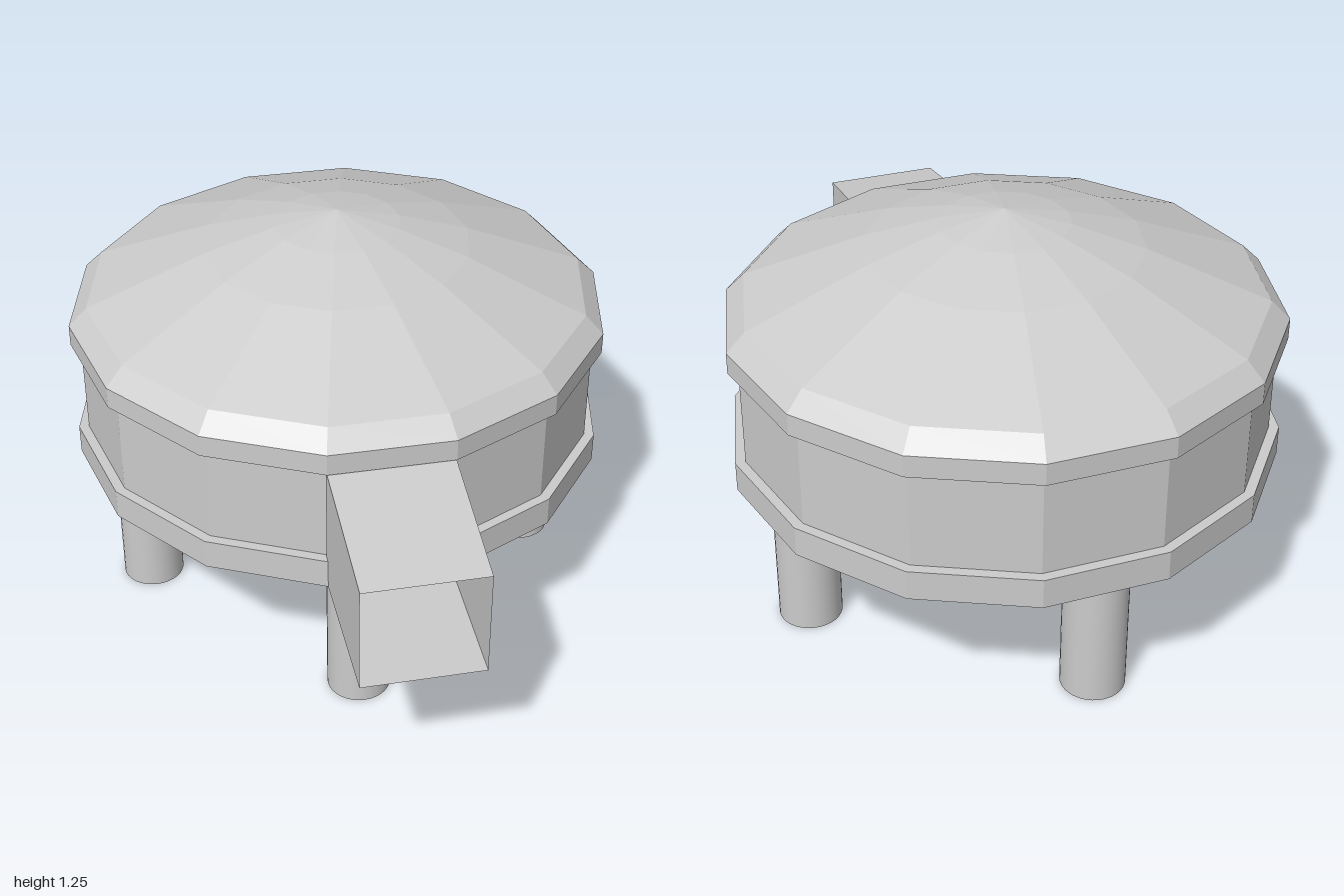
import * as THREE from 'three';

const SIDES = 14;
const CENTRE_Z = -0.205;

export function createModel() {
  const model = new THREE.Group();
  const flat = new THREE.MeshStandardMaterial({ color: 0xcccccc, flatShading: true });
  const smooth = new THREE.MeshStandardMaterial({ color: 0xcccccc });
  const sheet = new THREE.MeshStandardMaterial({ color: 0xcccccc, flatShading: true, side: THREE.DoubleSide });

  function add(name, geometry, material) {
    const mesh = new THREE.Mesh(geometry, material);
    mesh.name = name;
    model.add(mesh);
    return mesh;
  }

  // Fourteen-sided solid with a corner on the x axis
  function drum(name, profile) {
    const points = profile.map(([r, y]) => new THREE.Vector2(r, y));
    const geometry = new THREE.LatheGeometry(points, SIDES);
    geometry.rotateY(Math.PI / 2);
    geometry.translate(0, 0, CENTRE_Z);
    add(name, geometry, flat);
  }

  drum('basePlate', [[0, 0.49], [0.81, 0.49], [0.81, 0.58], [0, 0.58]]);
  drum('wall', [[0.78, 0.58], [0.78, 0.88]]);
  drum('roof', [
    [0, 0.88], [0.81, 0.88], [0.81, 0.945], [0.755, 1.0],
    [0.4, 1.145], [0.19, 1.21], [0, 1.25],
  ]);

  // Four round legs, the front and back ones slightly off centre
  const legs = [
    ['leftLeg', 0.615, -0.2], ['rightLeg', -0.615, -0.2],
    ['frontLeg', -0.065, 0.455], ['backLeg', -0.065, -0.78],
  ];
  for (const [name, x, z] of legs) {
    add(name, new THREE.CylinderGeometry(0.095, 0.095, 0.5, 32), smooth).position.set(x, 0.25, z);
  }

  // Open entrance duct, tapering forward from the wall
  const sections = [
    { w: 0.18, bottom: 0.489, top: 0.88, z: 0.565 },
    { w: 0.175, bottom: 0.486, top: 0.81, z: 1.0 },
  ];
  const corners = sections.flatMap(({ w, bottom, top, z }) => [
    -w, bottom, z, w, bottom, z, w, top, z, -w, top, z,
  ]);
  const faces = [];
  for (let i = 0; i < 4; i++) {
    const j = (i + 1) % 4;
    faces.push(i, j, j + 4, i, j + 4, i + 4);
  }
  const duct = new THREE.BufferGeometry();
  duct.setAttribute('position', new THREE.Float32BufferAttribute(corners, 3));
  duct.setIndex(faces);
  duct.computeVertexNormals();
  add('entranceDuct', duct, sheet);

  return model;
}
